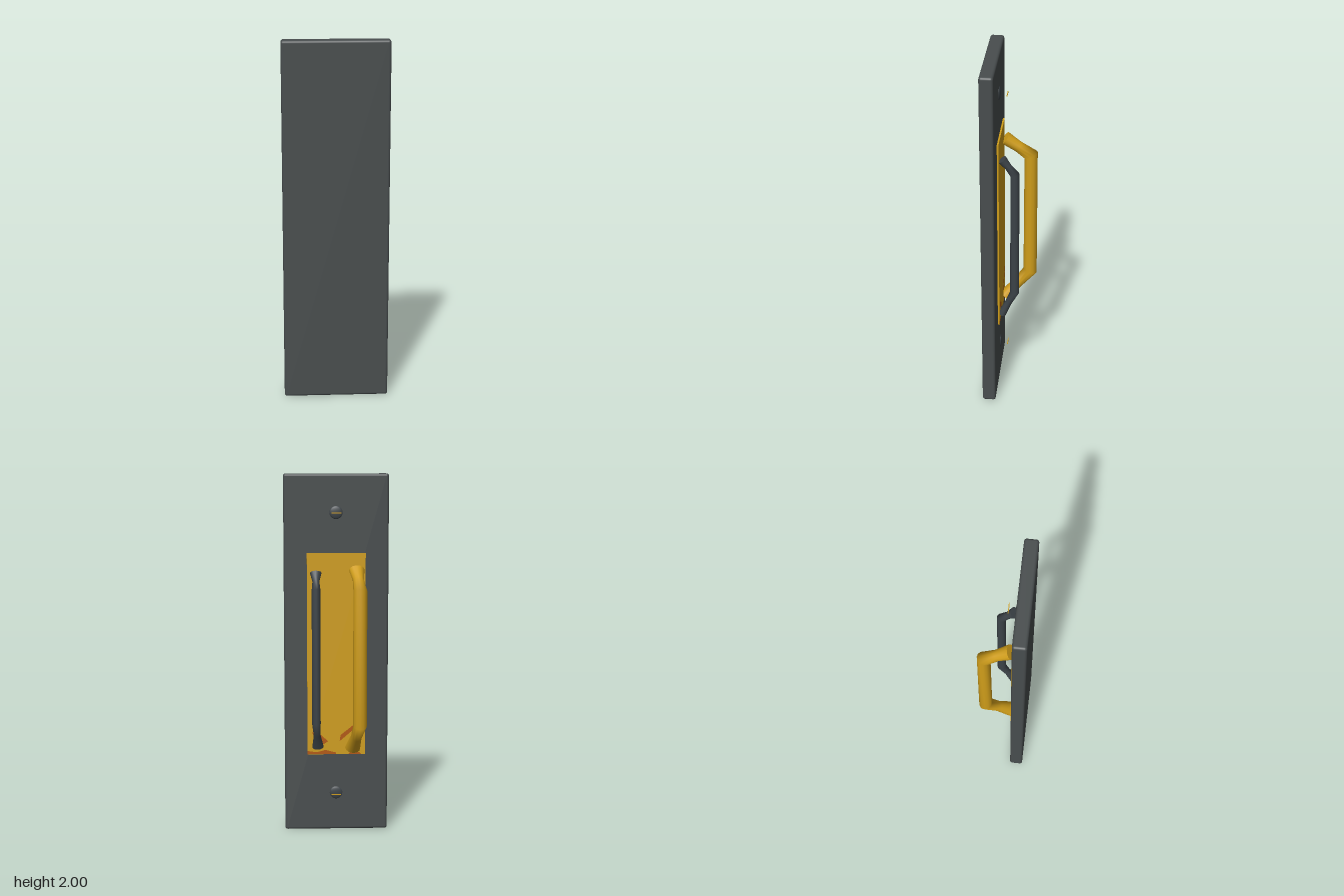
import * as THREE from 'three';
import { RoundedBoxGeometry } from 'three/addons/geometries/RoundedBoxGeometry.js';

const makeMaterial = (name, color, side = THREE.FrontSide) =>
  Object.assign(new THREE.MeshStandardMaterial({ color, side }), { name });

// Tube through sections { c: centre, rx, rv }, mitred at bends, with flat end caps
function sweep(sections, sides = 12) {
  const pos = [], index = [];
  const X = new THREE.Vector3(1, 0, 0);
  const n = sections.length;
  const rings = sections.map((s, i) => {
    const before = s.c.clone().sub(sections[Math.max(i - 1, 0)].c).normalize();
    const after = sections[Math.min(i + 1, n - 1)].c.clone().sub(s.c).normalize();
    const t = before.add(after).normalize();
    const v = t.clone().cross(X).normalize();
    const u = v.clone().cross(t);
    return Array.from({ length: sides }, (_, j) => {
      const a = (j / sides) * Math.PI * 2;
      return s.c.clone().addScaledVector(u, Math.cos(a) * s.rx).addScaledVector(v, Math.sin(a) * s.rv);
    });
  });
  const addRing = (ring) => {
    const start = pos.length / 3;
    ring.forEach((p) => pos.push(p.x, p.y, p.z));
    return start;
  };
  const starts = rings.map(addRing);
  for (let i = 0; i < n - 1; i++) {
    for (let j = 0; j < sides; j++) {
      const k = (j + 1) % sides;
      const a = starts[i], b = starts[i + 1];
      index.push(a + j, a + k, b + j, a + k, b + k, b + j);
    }
  }
  // caps have their own vertices so the rims stay sharp
  const first = addRing(rings[0]), last = addRing(rings[n - 1]);
  for (let j = 1; j < sides - 1; j++) {
    index.push(first, first + j + 1, first + j, last, last + j, last + j + 1);
  }
  const g = new THREE.BufferGeometry();
  g.setAttribute('position', new THREE.Float32BufferAttribute(pos, 3));
  g.setIndex(index);
  g.computeVertexNormals();
  return g;
}

// Pull handle: flared foot, pinched leg, straight bar, leg, foot
function handleGeometry({ x, z, r, low, high, foot }) {
  const barLow = new THREE.Vector3(x, 0.635, z);
  const barHigh = new THREE.Vector3(x, 1.375, z);
  const section = (c, rx, rv) => ({ c, rx, rv });
  const leg = (end, bar) => section(end.clone().lerp(bar, 0.5), r * 0.8, r * 0.8);
  return sweep([
    section(low, foot[0], foot[1]),
    leg(low, barLow),
    section(barLow, r, r * 1.06),
    section(barHigh, r, r * 1.06),
    leg(high, barHigh),
    section(high, foot[0], foot[1]),
  ]);
}

export function createModel() {
  const model = new THREE.Group();
  model.name = 'doorPullPanel';
  const slate = makeMaterial('slate', 0x484d4e);
  const darkIron = makeMaterial('dark iron', 0x3c4348);
  const brass = makeMaterial('brass', 0xcf9d1a);
  const rust = makeMaterial('rust', 0xb4590f, THREE.DoubleSide);

  const add = (name, geometry, material, x = 0, y = 0, z = 0) => {
    const mesh = new THREE.Mesh(geometry, material);
    mesh.name = name;
    mesh.position.set(x, y, z);
    model.add(mesh);
    return mesh;
  };

  // Panel and mounting plate
  add('panel', new RoundedBoxGeometry(0.577, 2, 0.074, 4, 0.014), slate, -0.001, 1, 0.098);
  add('mountingPlate', new THREE.BoxGeometry(0.323, 1.13, 0.009), brass, -0.001, 1.005, 0.0535);

  // Handles
  add('largeHandle', handleGeometry({
    x: -0.125, z: -0.099, r: 0.038, foot: [0.043, 0.034],
    low: new THREE.Vector3(-0.092, 0.477, 0.04),
    high: new THREE.Vector3(-0.112, 1.478, 0.04),
  }), brass);
  add('smallHandle', handleGeometry({
    x: 0.112, z: -0.032, r: 0.024, foot: [0.032, 0.024],
    low: new THREE.Vector3(0.102, 0.485, 0.038),
    high: new THREE.Vector3(0.112, 1.463, 0.035),
  }), darkIron);

  // Domed screws with their slot strips
  for (const [side, y] of [['lower', 0.215], ['upper', 1.79]]) {
    const dome = new THREE.SphereGeometry(0.036, 20, 6, 0, Math.PI * 2, 0, Math.PI / 2);
    dome.scale(1, 0.25, 1).rotateX(-Math.PI / 2);
    add(`${side}Screw`, dome, darkIron, 0, y, 0.0615);
    add(`${side}ScrewSlot`, new THREE.BoxGeometry(0.054, 0.006, 0.004), brass, 0, y, 0.017);
  }

  // Rust patches on the plate, as flat outlines facing the back
  const patches = [
    [[-0.162, 0.665], [-0.162, 0.625], [-0.09, 0.575], [-0.02, 0.515], [-0.025, 0.55], [-0.1, 0.61]],
    [[0.135, 0.565], [0.10, 0.565], [0.045, 0.515], [0.075, 0.495], [0.11, 0.52]],
    [[0.16, 0.441], [0.16, 0.46], [0.11, 0.452], [0.06, 0.465], [0.0, 0.45], [0.0, 0.441]],
    [[-0.07, 0.441], [-0.08, 0.455], [-0.13, 0.452], [-0.14, 0.441]],
  ];
  patches.forEach((points, i) => {
    const shape = new THREE.Shape(points.map(([x, y]) => new THREE.Vector2(x, y)));
    add(`rustPatch${i + 1}`, new THREE.ShapeGeometry(shape), rust, 0, 0, 0.0483);
  });

  return model;
}
